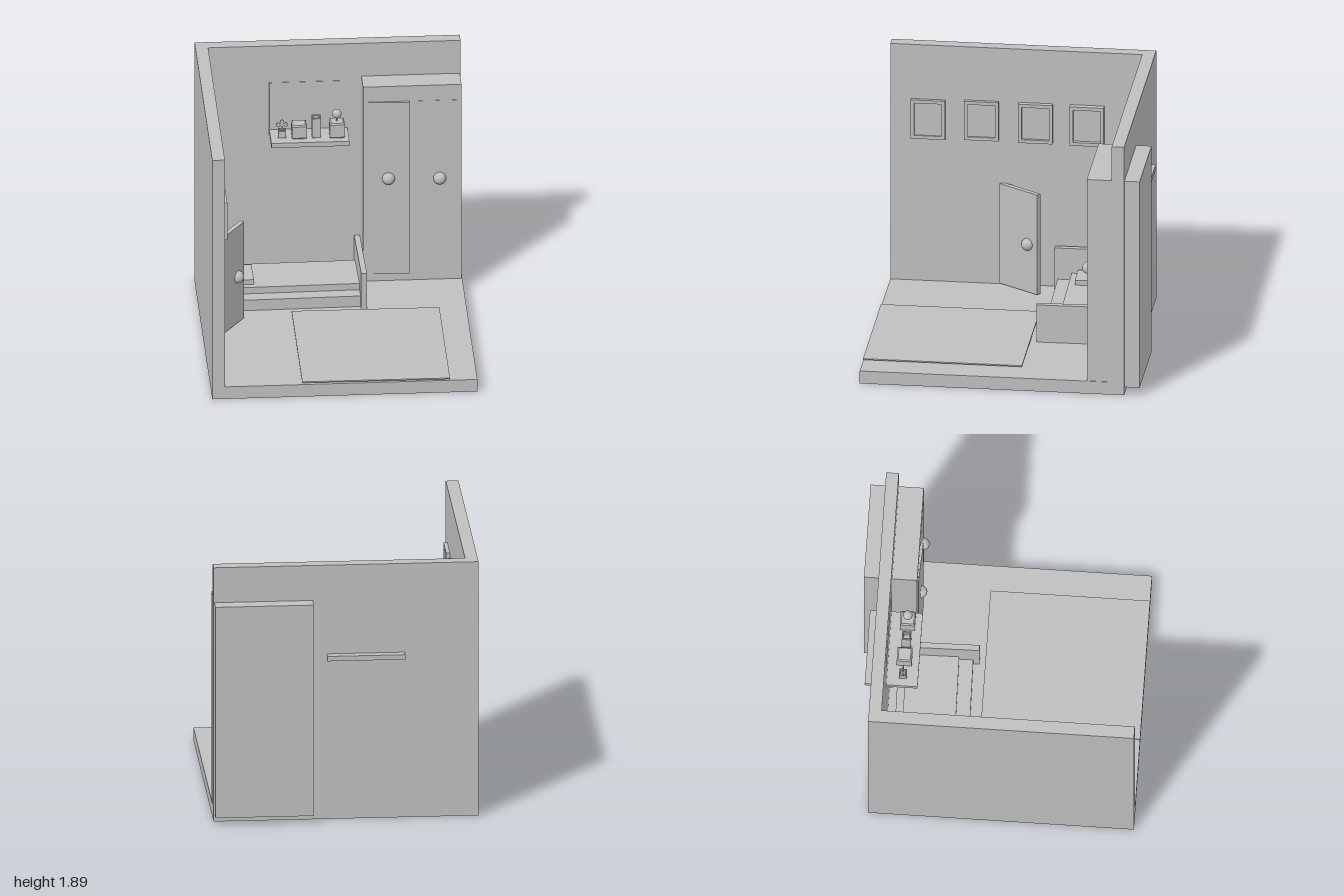
import * as THREE from 'three';

const plaster = new THREE.MeshStandardMaterial({ color: 0xbfbfbf });
plaster.name = 'plain grey';

function add(parent, name, geometry, x = 0, y = 0, z = 0) {
  const mesh = new THREE.Mesh(geometry, plaster);
  mesh.name = name;
  mesh.position.set(x, y, z);
  parent.add(mesh);
  return mesh;
}

// Box given by its extents on each axis
function block(parent, name, [x0, x1], [y0, y1], [z0, z1]) {
  return add(parent, name, new THREE.BoxGeometry(x1 - x0, y1 - y0, z1 - z0),
    (x0 + x1) / 2, (y0 + y1) / 2, (z0 + z1) / 2);
}

function group(parent, name) {
  const g = new THREE.Group();
  g.name = name;
  parent.add(g);
  return g;
}

function knob(parent, x, y, z) {
  add(parent, 'knob', new THREE.SphereGeometry(0.045, 32, 20), x, y, z);
}

// Rectangle with a rectangular hole
function ringShape(w, h, border) {
  const corners = (a, b) => [[-a, -b], [a, -b], [a, b], [-a, b]].map(([x, y]) => new THREE.Vector2(x, y));
  const shape = new THREE.Shape(corners(w / 2, h / 2));
  shape.holes.push(new THREE.Path(corners(w / 2 - border, h / 2 - border).reverse()));
  return shape;
}

function pictureFrame(parent, z, y, depth) {
  const g = group(parent, 'pictureFrame');
  g.position.set(-0.855, y, z);
  const ring = new THREE.ExtrudeGeometry(ringShape(0.245, 0.295, 0.025), { depth, bevelEnabled: false });
  add(g, 'frameBorder', ring.rotateY(Math.PI / 2));
  add(g, 'picture', new THREE.BoxGeometry(0.02, 0.246, 0.196), 0.006).rotation.x = 0;
  g.children[1].geometry = new THREE.BoxGeometry(0.02, 0.246, 0.196);
}

// Open-topped square pot with softened rims
function pot(parent, name, x, y, z, width, height, wall, bevel) {
  const g = group(parent, name);
  g.position.set(x, y, z);
  const ring = new THREE.ExtrudeGeometry(ringShape(width, width, wall), {
    depth: height - 2 * bevel, bevelEnabled: true, bevelThickness: bevel,
    bevelSize: bevel, bevelOffset: -bevel, bevelSegments: 1,
  });
  add(g, 'potSides', ring.rotateX(-Math.PI / 2).translate(0, bevel, 0));
  const inner = width - 2 * wall + 2 * bevel;
  add(g, 'potFilling', new THREE.BoxGeometry(inner, height * 0.7, inner), 0, height * 0.35, 0);
  return g;
}

export function createModel() {
  const root = new THREE.Group();
  root.name = 'bedroom';

  // Room shell
  const room = group(root, 'room');
  block(room, 'floor', [-0.945, 0.94], [0, 0.095], [-0.89, 1]);
  block(room, 'leftWall', [-0.945, -0.855], [0.095, 1.89], [-0.89, 1]);
  block(room, 'backWall', [-0.855, 0.94], [0.095, 1.89], [-0.89, -0.8]);
  block(room, 'wallPanel', [-0.42, 0.145], [1.18, 1.6], [-0.805, -0.797]);
  block(room, 'rug', [-0.305, 0.745], [0.106, 0.115], [-0.135, 1]).rotation.z = -0.004;

  // Wardrobe set through the back wall, left door slightly ajar
  const wardrobe = group(root, 'wardrobe');
  block(wardrobe, 'wardrobeBody', [0.235, 0.935], [0.06, 1.63], [-1, -0.622]);
  block(wardrobe, 'wardrobeDoor', [0.272, 0.565], [0.155, 1.51], [-0.627, -0.607]).rotation.y = -0.05;
  block(wardrobe, 'wardrobeDoor', [0.62, 0.915], [0.155, 1.51], [-0.64, -0.62]);
  knob(wardrobe, 0.415, 0.91, -0.607);
  knob(wardrobe, 0.78, 0.897, -0.615);

  // Half-open door on the left wall
  const door = group(root, 'door');
  door.position.set(-0.758, 0, 0.061);
  door.rotation.y = 0.985;
  block(door, 'doorPanel', [-0.175, 0.175], [0.105, 0.865], [-0.0175, 0.0175]);
  knob(door, 0.085, 0.468, 0.0175);

  // Bed, turned very slightly
  const bed = group(root, 'bed');
  bed.position.set(-0.3, 0, -0.48);
  bed.rotation.y = 0.016;
  block(bed, 'headboard', [-0.528, -0.487], [0.095, 0.415], [-0.305, 0.29]);
  block(bed, 'footboard', [0.487, 0.528], [0.095, 0.378], [-0.3, 0.312]);
  block(bed, 'bedBase', [-0.487, 0.487], [0.095, 0.178], [-0.262, 0.268]);
  block(bed, 'mattress', [-0.487, 0.487], [0.178, 0.228], [-0.208, 0.168]);
  block(bed, 'pillow', [-0.46, -0.26], [0.22, 0.265], [-0.125, 0.12]);

  // Row of framed pictures
  const pictures = group(root, 'pictures');
  [[0.728, 1.33, 0.027], [0.347, 1.337, 0.027], [-0.04, 1.337, 0.037], [-0.408, 1.337, 0.046]]
    .forEach(([z, y, depth]) => pictureFrame(pictures, z, y, depth));

  // Shelf with two wedge brackets
  const shelf = group(root, 'shelf');
  block(shelf, 'shelfBoard', [-0.42, 0.135], [1.193, 1.229], [-0.95, -0.575]);
  const wedge = new THREE.Shape([[-0.81, 1.195], [-0.81, 1.09], [-0.79, 1.09], [-0.65, 1.195]]
    .map(([z, y]) => new THREE.Vector2(z, y)));
  for (const x of [-0.31, 0.09]) {
    const bracket = new THREE.ExtrudeGeometry(wedge, { depth: 0.085, bevelEnabled: false });
    add(shelf, 'bracket', bracket.rotateY(-Math.PI / 2), x);
  }

  // Ornaments on the shelf
  const top = 1.229;
  const flowerPot = pot(shelf, 'flowerPot', -0.338, top, -0.683, 0.055, 0.056, 0.012, 0.003);
  add(flowerPot, 'flowerStem', new THREE.BoxGeometry(0.012, 0.07, 0.008), 0, 0.068, 0);
  for (const [x, y] of [[-0.026, 0.094], [0.026, 0.094], [0, 0.118], [0, 0.096]]) {
    const petal = new THREE.CylinderGeometry(0.015, 0.015, 0.008, 16).rotateX(Math.PI / 2);
    add(flowerPot, 'petal', petal, x, y, 0);
  }
  pot(shelf, 'widePot', -0.217, top, -0.68, 0.107, 0.107, 0.02, 0.01);
  pot(shelf, 'tallVase', -0.094, top, -0.675, 0.064, 0.156, 0.012, 0.004);
  const treePot = pot(shelf, 'treePot', 0.052, top, -0.676, 0.107, 0.116, 0.02, 0.01);
  add(treePot, 'treeTrunk', new THREE.CylinderGeometry(0.006, 0.006, 0.08, 8), 0, 0.115, 0);
  add(treePot, 'treeCrown', new THREE.SphereGeometry(0.034, 16, 12), 0, 0.172, 0);

  return root;
}
